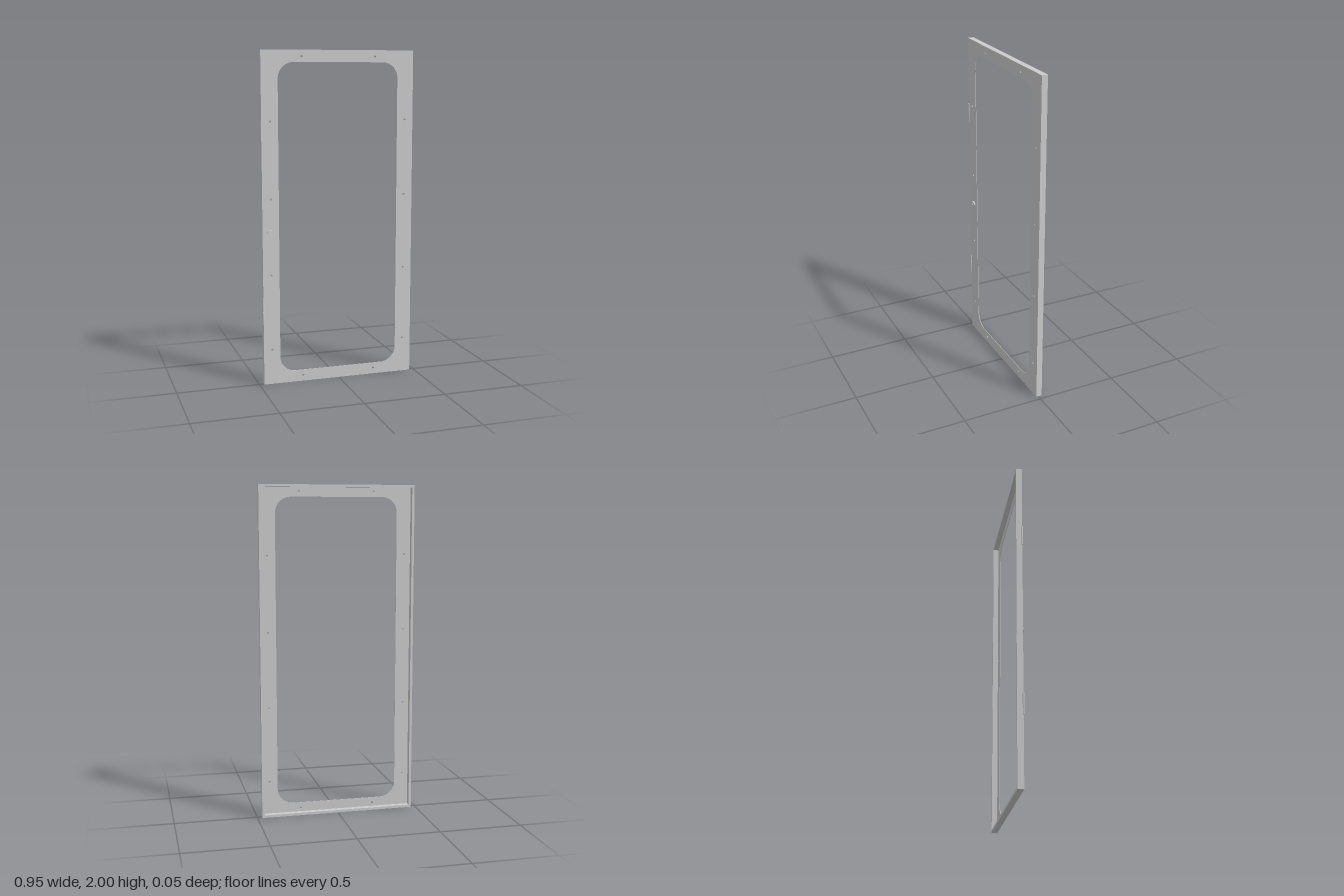
import * as THREE from 'three';

const FRONT = 0.0135, BACK = -0.0225, SHEET = 0.003;
const HALF_W = 0.472, RIM = 0.015;

// Rounded rectangle centred on (cx, cy), used for outlines and cut-outs
function roundedRect(target, cx, cy, hw, hh, r) {
  target.absarc(cx + hw - r, cy + hh - r, r, 0, Math.PI / 2);
  target.absarc(cx - hw + r, cy + hh - r, r, Math.PI / 2, Math.PI);
  target.absarc(cx - hw + r, cy - hh + r, r, Math.PI, Math.PI * 1.5);
  target.absarc(cx + hw - r, cy - hh + r, r, Math.PI * 1.5, Math.PI * 2);
  target.closePath();
  return target;
}

function rect(target, hw, y0, y1) {
  target.moveTo(-hw, y0);
  target.lineTo(hw, y0);
  target.lineTo(hw, y1);
  target.lineTo(-hw, y1);
  target.closePath();
  return target;
}

export function createModel() {
  const group = new THREE.Group();
  const material = new THREE.MeshStandardMaterial({ color: 0xcccccc });

  function add(name, geometry, x = 0, y = 0, z = 0) {
    const mesh = new THREE.Mesh(geometry, material);
    mesh.name = name;
    mesh.position.set(x, y, z);
    group.add(mesh);
    return mesh;
  }
  const extrude = (shape, depth) =>
    new THREE.ExtrudeGeometry(shape, { depth, bevelEnabled: false, curveSegments: 16 });

  // Thin front panel with the window and the screw holes
  const panel = rect(new THREE.Shape(), HALF_W, 0, 2);
  panel.holes.push(roundedRect(new THREE.Path(), 0, 1, 0.371, 0.929, 0.095));
  const hole = (x, y) =>
    panel.holes.push(new THREE.Path().absarc(x, y, 0.006, 0, Math.PI * 2, true));
  for (const side of [-1, 1]) {
    for (const y of [0.215, 0.672, 1.13, 1.587]) hole(side * 0.42, y);
    for (const y of [0.038, 1.962]) hole(side * 0.227, y);
  }
  add('frontPanel', extrude(panel, SHEET), 0, 0, FRONT - SHEET);

  // Folded rim around the back of the panel
  const rim = rect(new THREE.Shape(), HALF_W, 0, 2);
  rim.holes.push(rect(new THREE.Path(), HALF_W - RIM, RIM, 2 - RIM));
  add('backRim', extrude(rim, FRONT - SHEET - BACK), 0, 0, BACK);

  // Hinge barrels on the right edge, each in three knuckles
  for (const [name, y] of [['lowerHinge', 0.474], ['upperHinge', 1.529]]) {
    const hinge = new THREE.Group();
    hinge.name = name;
    for (const i of [-1, 0, 1]) {
      const knuckle = new THREE.Mesh(new THREE.CylinderGeometry(0.005, 0.005, 0.0405, 20), material);
      knuckle.name = 'hingeKnuckle';
      knuckle.position.y = i * 0.041;
      hinge.add(knuckle);
    }
    const pin = new THREE.Mesh(new THREE.CylinderGeometry(0.003, 0.003, 0.124, 16), material);
    pin.name = 'hingePin';
    hinge.add(pin);
    hinge.position.set(-HALF_W, y, 0.0135);
    group.add(hinge);
  }

  // Lock: oval plate with a round recess and a key cylinder
  const plate = roundedRect(new THREE.Shape(), 0, 0, 0.022, 0.0135, 0.0134);
  plate.holes.push(new THREE.Path().absarc(0, 0, 0.0105, 0, Math.PI * 2, true));
  add('lockPlate', extrude(plate, 0.009), -0.42, 0.935, FRONT);
  const core = add('lockCore', new THREE.CylinderGeometry(0.0105, 0.0105, 0.006, 32), -0.42, 0.935, FRONT + 0.003);
  core.rotation.x = Math.PI / 2;
  add('lockKeyBar', new THREE.BoxGeometry(0.005, 0.012, 0.003), -0.42, 0.935, FRONT + 0.0065);

  return group;
}
